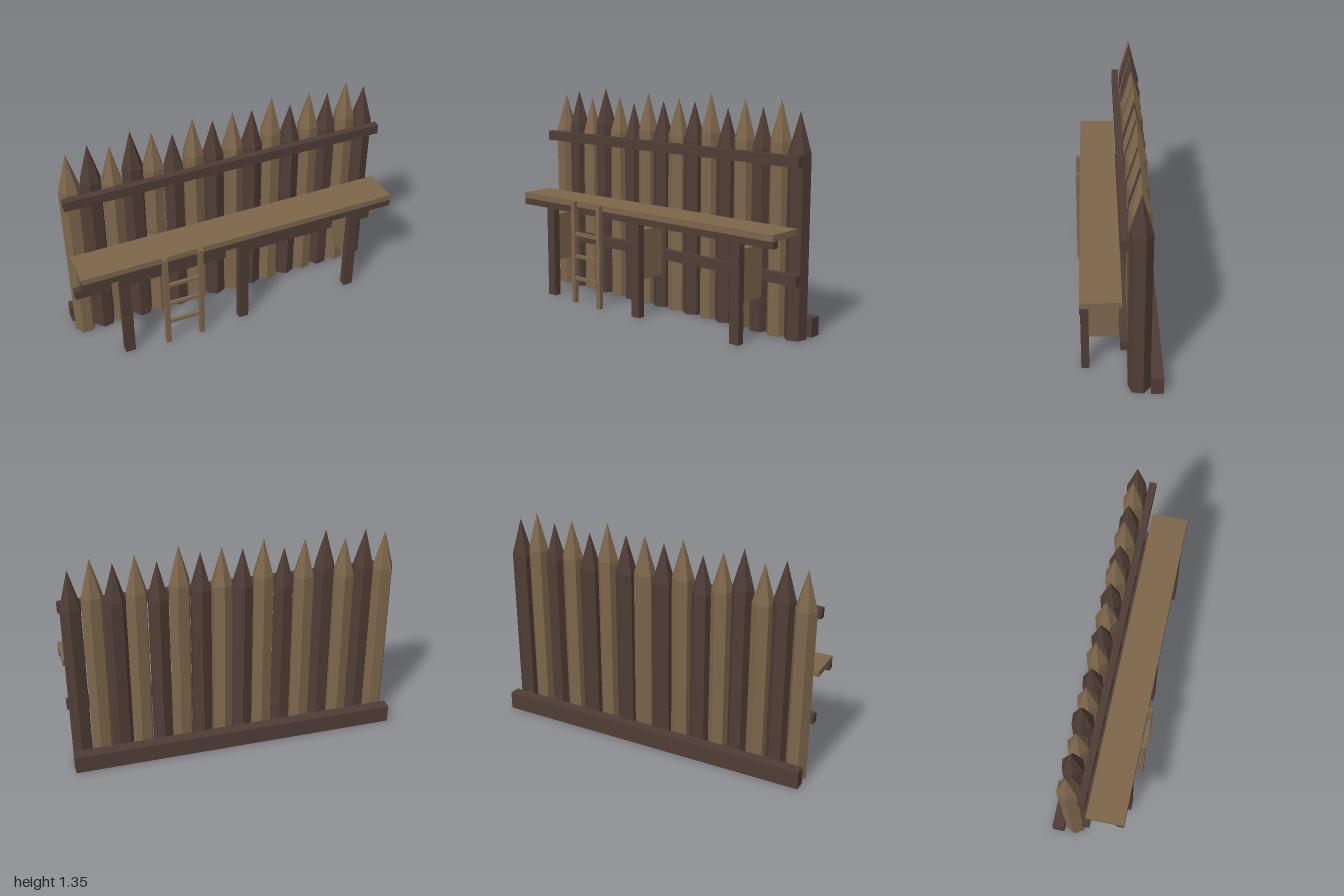
import * as THREE from 'three';

const lightWood = new THREE.MeshStandardMaterial({ color: 0x7d664b });
lightWood.name = 'lightWood';
const darkWood = new THREE.MeshStandardMaterial({ color: 0x4f3d35 });
darkWood.name = 'darkWood';
lightWood.flatShading = darkWood.flatShading = true;

// Box given by its lower and upper limits on each axis
function beam(parent, name, material, [x0, x1], [y0, y1], [z0, z1]) {
  const mesh = new THREE.Mesh(new THREE.BoxGeometry(x1 - x0, y1 - y0, z1 - z0), material);
  mesh.position.set((x0 + x1) / 2, (y0 + y1) / 2, (z0 + z1) / 2);
  mesh.name = name;
  parent.add(mesh);
}

// Six-sided log sharpened to a point
function stake(material, height, radius, turn) {
  const profile = [[0, 0], [radius, 0], [radius, height - 0.23], [0, height]];
  const points = profile.map(([r, y]) => new THREE.Vector2(r, y));
  const mesh = new THREE.Mesh(new THREE.LatheGeometry(points, 6), material);
  mesh.rotation.y = Math.PI / 2 + THREE.MathUtils.degToRad(turn);
  mesh.name = 'stake';
  return mesh;
}

export function createModel() {
  const model = new THREE.Group();
  model.name = 'palisade';

  // Row of stakes, alternating in colour
  const wall = new THREE.Group();
  wall.name = 'stakeWall';
  model.add(wall);
  const tips = [1.28, 1.31, 1.27, 1.335, 1.295, 1.255, 1.325, 1.28,
    1.305, 1.29, 1.345, 1.265, 1.32, 1.285, 1.33, 1.275];
  const turns = [0, 10, 20, 5, 15, 12, 20, 25, 30, 25, 10, 25, 15, 5, 12, 20];
  tips.forEach((tip, i) => {
    const log = stake(i % 2 ? darkWood : lightWood, tip, 0.065, turns[i]);
    log.position.set((i - 7.5) * 0.1247, 0, -0.107);
    wall.add(log);
  });

  // Rails across the front and the sill along the back
  const full = [-1, 1];
  beam(model, 'upperRail', darkWood, full, [0.98, 1.04], [-0.043, 0]);
  beam(model, 'lowerRail', darkWood, full, [0.325, 0.385], [-0.043, 0]);
  beam(model, 'backSill', darkWood, full, [0, 0.11], [-0.243, -0.173]);

  // Walkway with its supporting beam
  beam(model, 'walkway', lightWood, full, [0.613, 0.65], [-0.01, 0.216]);
  beam(model, 'walkwayBeam', darkWood, full, [0.573, 0.613], [0.17, 0.216]);

  // Posts and the braces joining them to the wall
  for (const x of [-0.75, 0, 0.75]) {
    beam(model, 'post', darkWood, [x - 0.031, x + 0.031], [0, 0.573], [0.17, 0.216]);
    beam(model, 'brace', lightWood, [x - 0.025, x + 0.025], [0.23, 0.535], [0, 0.17]);
  }

  // Ladder
  const ladder = new THREE.Group();
  ladder.name = 'ladder';
  model.add(ladder);
  for (const x of [-0.511, -0.29]) {
    beam(ladder, 'ladderRail', lightWood, [x - 0.015, x + 0.015], [0, 0.65], [0.217, 0.243]);
  }
  for (const y of [0.16, 0.302, 0.444]) {
    beam(ladder, 'rung', lightWood, [-0.5, -0.3], [y - 0.01, y + 0.01], [0.219, 0.239]);
  }

  return model;
}
